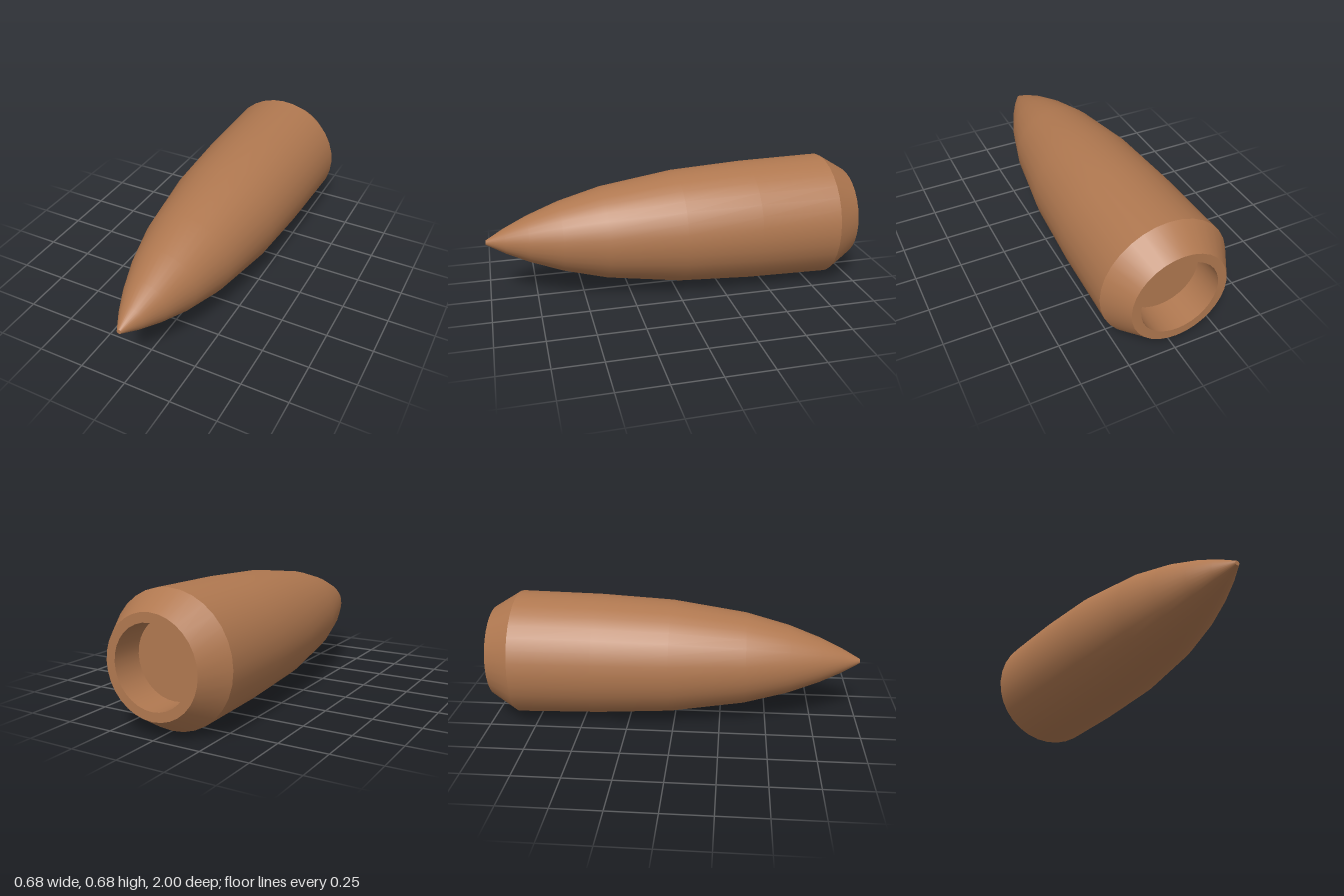
import * as THREE from 'three';

const SIDES = 32;
const RADIUS = 0.338;

export function createModel() {
  const model = new THREE.Group();
  model.name = 'projectile';
  const copper = new THREE.MeshStandardMaterial({ color: 0xb07850 });
  copper.name = 'copper';

  // Each section is a smooth [radius, z] profile turned about the z axis;
  // separate sections keep the edges between them sharp.
  const sections = {
    recessFloor: [[0, -0.83], [0.203, -0.83]],
    recessWall: [[0.203, -0.83], [0.203, -1]],
    baseRim: [[0.203, -1], [0.25, -1]],
    boatTail: [[0.25, -1], [RADIUS, -0.857]],
    ogiveBody: [
      [RADIUS, -0.857], [0.329, -0.42], [0.307, -0.02], [0.248, 0.38],
      [0.187, 0.61], [0.124, 0.78], [0.068, 0.9], [0.012, 1],
    ],
    tipCap: [[0.012, 1], [0, 1]],
  };

  for (const [name, profile] of Object.entries(sections)) {
    const points = profile.map(([r, z]) => new THREE.Vector2(r, z));
    const geometry = new THREE.LatheGeometry(points, SIDES);
    geometry.rotateX(Math.PI / 2);
    geometry.translate(0, RADIUS, 0);
    const mesh = new THREE.Mesh(geometry, copper);
    mesh.name = name;
    model.add(mesh);
  }
  return model;
}
